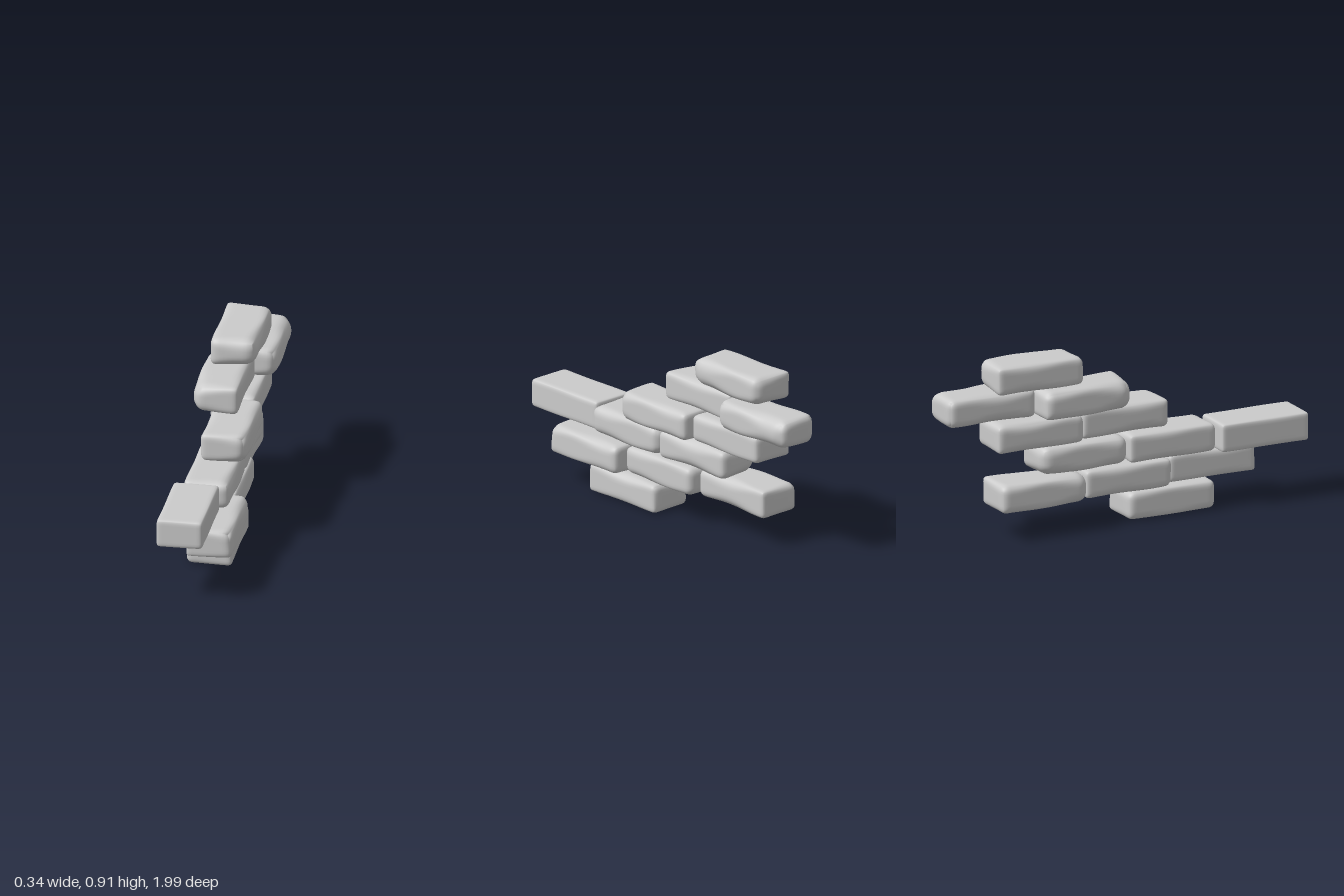
import * as THREE from 'three';
import { mergeVertices } from 'three/addons/utils/BufferGeometryUtils.js';

const WIDTH = 0.236, HEIGHT = 0.148, LENGTH = 0.494, ROW = 0.1528;

// Each brick: row, centre x, centre z, wear of its eight corners (0-9):
// front end top-left, top-right, bottom-left, bottom-right, then the back end.
const BRICKS = [
  [0, 0.008, 0.25, '23223522'],
  [1, 0.053, 0.5, '35123423'],
  [1, -0.007, 0, '33443323'],
  [1, -0.053, -0.5, '56463223'],
  [2, -0.053, 0.75, '11111111'],
  [2, -0.007, 0.25, '34342424'],
  [2, -0.007, -0.25, '45454555'],
  [3, 0.035, 0, '35453323'],
  [3, -0.007, -0.5, '43334222'],
  [4, -0.053, -0.25, '63544322'],
  [4, 0.053, -0.75, '35355756'],
  [5, -0.007, -0.5, '45372435'],
];

const lerp = THREE.MathUtils.lerp;

// Box whose edge rounding varies smoothly between worn corners
function wornBrick(wear, phase) {
  const radii = [...wear].map((d) => 0.011 + 0.0075 * Number(d));
  const half = new THREE.Vector3(WIDTH / 2, HEIGHT / 2, LENGTH / 2);
  let geo = new THREE.BoxGeometry(2, 2, 2, 14, 12, 26);
  geo.deleteAttribute('uv');
  geo.deleteAttribute('normal');
  geo = mergeVertices(geo);
  const pos = geo.attributes.position;
  const q = new THREE.Vector3(), inner = new THREE.Vector3(), limit = new THREE.Vector3();
  // gather the loops towards the edges
  const spread = (t, p) => Math.sign(t) * (1 - Math.pow(1 - Math.min(1, Math.abs(t)), p));
  for (let i = 0; i < pos.count; i++) {
    q.fromBufferAttribute(pos, i);
    q.set(spread(q.x, 1.5), spread(q.y, 1.3), spread(q.z, 1.7));
    const u = (q.x + 1) / 2, v = (1 - q.y) / 2, w = (1 - q.z) / 2;
    const end = (o) => lerp(lerp(radii[o], radii[o + 1], u), lerp(radii[o + 2], radii[o + 3], u), v);
    const worn = lerp(end(0), end(4), w);
    const ripple = 1 + 0.3 * Math.sin(q.z * 3.5 + phase + q.x * 1.5) * Math.min(1, worn * 25);
    const r = Math.min(0.07, worn * ripple);
    q.multiply(half);
    limit.copy(half).subScalar(r);
    inner.copy(q).clamp(limit.clone().negate(), limit);
    q.sub(inner).setLength(r).add(inner);
    pos.setXYZ(i, q.x, q.y, q.z);
  }
  geo.computeVertexNormals();
  return geo;
}

export function createModel() {
  const model = new THREE.Group();
  model.name = 'brickStack';
  const material = new THREE.MeshStandardMaterial({ color: 0xcccccc });
  BRICKS.forEach(([row, x, z, wear], i) => {
    const brick = new THREE.Mesh(wornBrick(wear, i * 2.1), material);
    brick.name = `brickRow${row + 1}Number${i + 1}`;
    brick.position.set(x, HEIGHT / 2 + row * ROW, z);
    model.add(brick);
  });
  return model;
}
